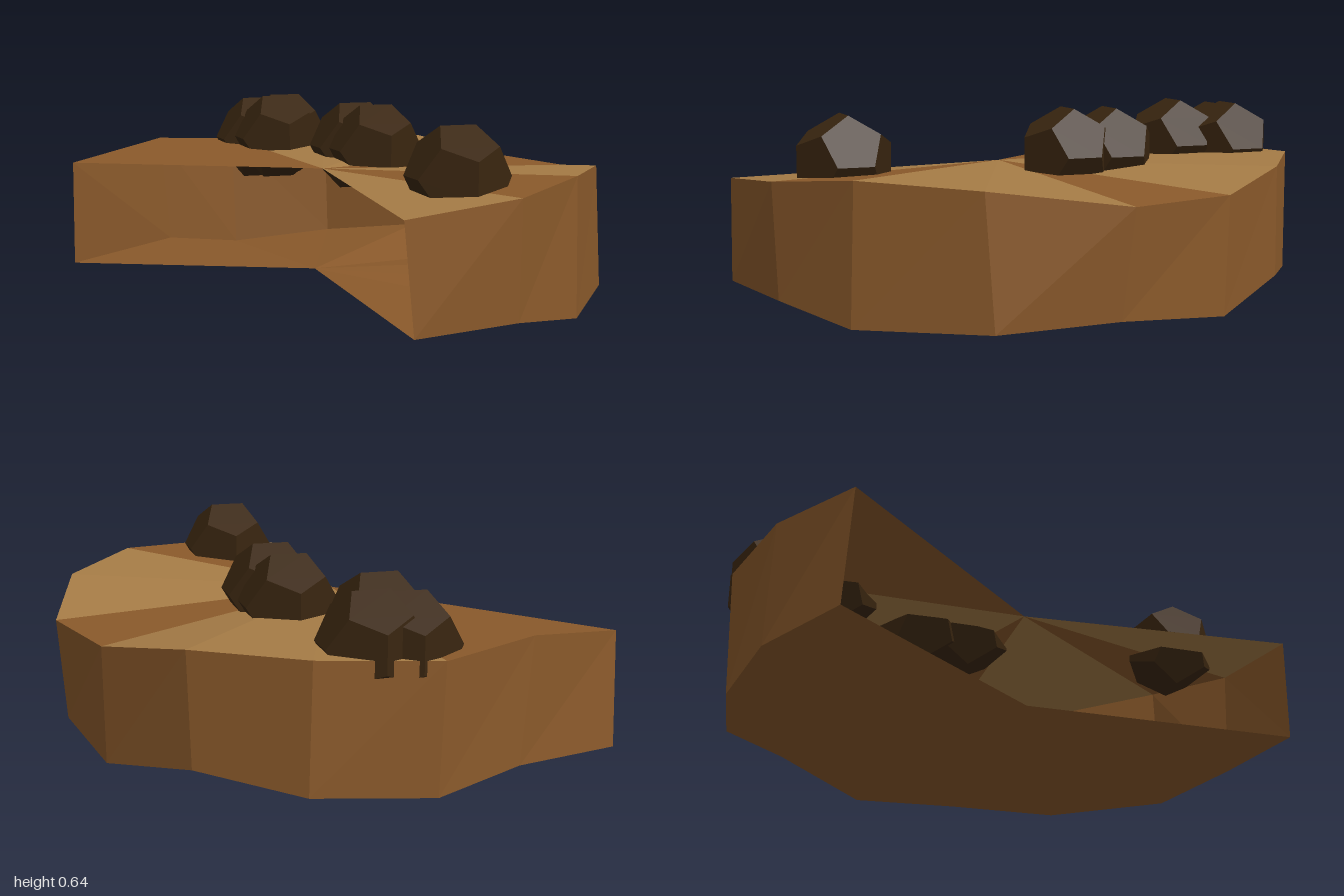
import * as THREE from 'three';

export function createModel() {
  const group = new THREE.Group();
  const mat = (name, color, side) => {
    const m = new THREE.MeshStandardMaterial({ color, flatShading: true, side });
    m.name = name;
    return m;
  };
  const earth = mat('earth brown', 0x8b5a2b, THREE.DoubleSide);
  const sand = mat('light sand', 0xa67c46, THREE.DoubleSide);
  const stone = mat('dark stone', 0x3a2610, THREE.FrontSide);

  // Irregular fan rim, from the front round the left side to the back
  const top = [
    [-0.18, 0.405, 0.99], [0.23, 0.44, 0.93], [0.52, 0.47, 0.735], [0.775, 0.453, 0.4],
    [0.88, 0.397, -0.05], [0.775, 0.4, -0.43], [0.56, 0.455, -0.73], [0.23, 0.462, -0.965],
    [-0.17, 0.44, -1], [-0.5, 0.465, -0.885], [-0.88, 0.403, -0.685],
  ];
  const bottom = [
    [-0.15, 0.05, 1], [0.23, 0.05, 0.915], [0.52, 0.005, 0.75], [0.81, 0.02, 0.38],
    [0.85, 0.038, -0.02], [0.77, 0.005, -0.42], [0.55, 0.075, -0.74], [0.24, 0.035, -0.96],
    [-0.16, 0.005, -0.985], [-0.46, 0.05, -0.9], [-0.88, 0.008, -0.71],
  ];
  const topCentre = [-0.11, 0.435, 0.03];
  const bottomCentre = [-0.14, 0.077, 0.03];

  const addFaces = (name, triangles, material) => {
    const geo = new THREE.BufferGeometry();
    geo.setAttribute('position', new THREE.Float32BufferAttribute(triangles.flat(2), 3));
    geo.computeVertexNormals();
    const mesh = new THREE.Mesh(geo, material);
    mesh.name = name;
    group.add(mesh);
  };

  // Slab: two-tone top, outer wall and underside; the cut ends stay open
  const darkSegments = [1, 4, 8, 9];
  const light = [], dark = [], wall = [], under = [];
  for (let i = 0; i < top.length - 1; i++) {
    (darkSegments.includes(i) ? dark : light).push([topCentre, top[i], top[i + 1]]);
    wall.push([top[i], bottom[i], top[i + 1]], [bottom[i], bottom[i + 1], top[i + 1]]);
    under.push([bottomCentre, bottom[i + 1], bottom[i]]);
  }
  addFaces('sandyTop', light, sand);
  addFaces('earthTop', dark, earth);
  addFaces('outerWall', wall, earth);
  addFaces('underside', under, earth);

  // Boulders half sunk into the top
  const boulders = [
    [0.13, 0.48, 0.665], [0.13, 0.475, -0.3], [0.15, 0.48, -0.13],
    [-0.1, 0.46, -0.84], [0.015, 0.47, -0.84], [-0.07, 0.48, -0.655],
  ];
  const boulderGeo = new THREE.DodecahedronGeometry(0.172);
  boulders.forEach((p, i) => {
    const rock = new THREE.Mesh(boulderGeo, stone);
    rock.name = 'boulder' + (i + 1);
    rock.position.set(...p);
    group.add(rock);
  });

  return group;
}
